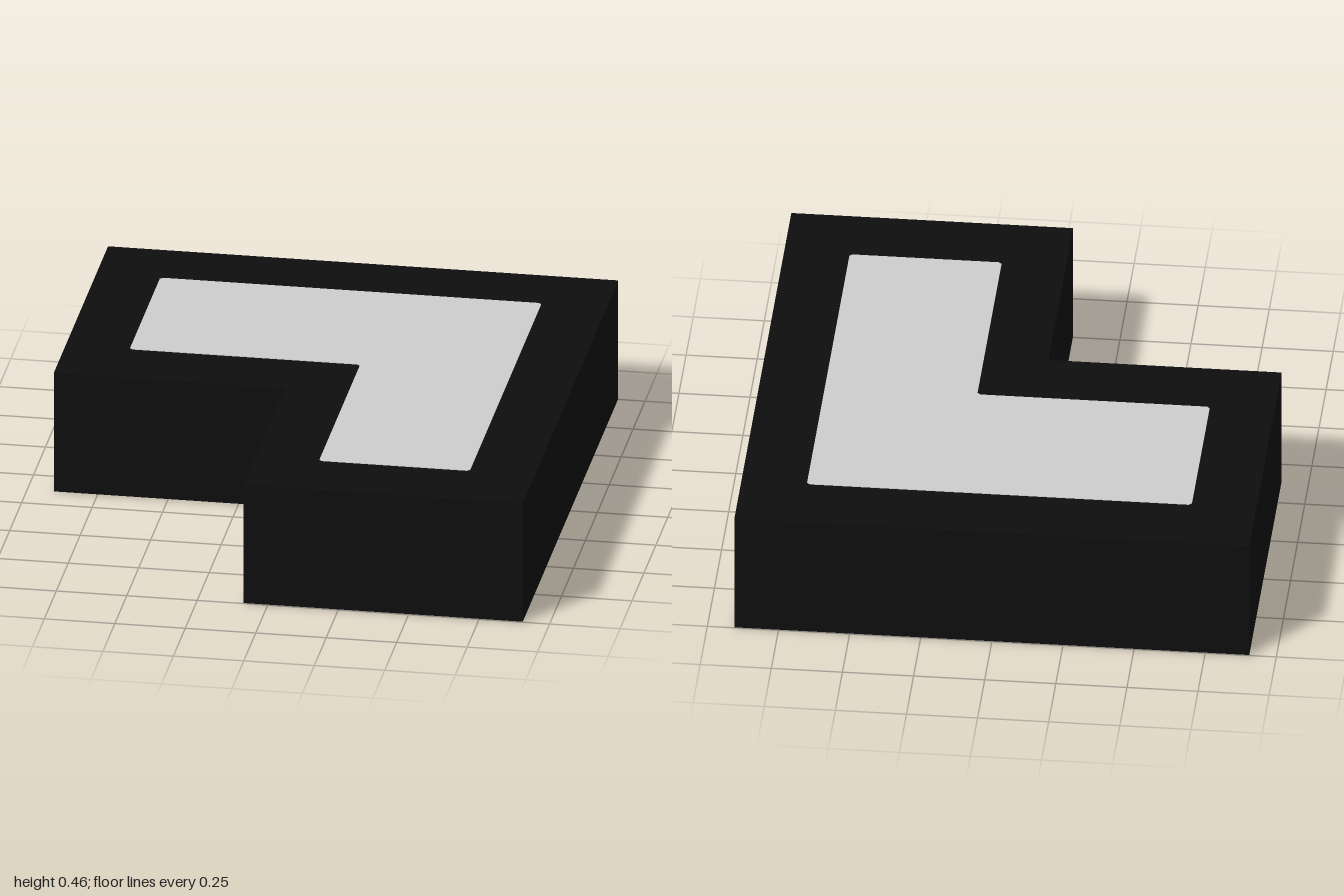
import * as THREE from 'three';

const HEIGHT = 0.455;
const INLAY = 0.002; // thickness of the inlaid plates

// L-shaped outline in plan: shape y is -z. A small cut softens each corner.
function lShape(x0, x1, xNotch, zBack, zFront, zNotch, cut = 0) {
  const corners = [
    [x0, -zBack], [x0, -zNotch], [xNotch, -zNotch],
    [xNotch, -zFront], [x1, -zFront], [x1, -zBack],
  ].map(([x, y]) => new THREE.Vector2(x, y));
  if (!cut) return new THREE.Shape(corners);
  const points = corners.flatMap((p, i) => {
    const toward = (q) => p.clone().add(q.clone().sub(p).setLength(cut));
    return [toward(corners[(i + 5) % 6]), toward(corners[(i + 1) % 6])];
  });
  return new THREE.Shape(points);
}

// Upright slab of the given outline, standing on height y
function slab(name, shape, y, depth, material) {
  const geometry = new THREE.ExtrudeGeometry(shape, { depth, bevelEnabled: false });
  geometry.rotateX(-Math.PI / 2);
  const mesh = new THREE.Mesh(geometry, material);
  mesh.name = name;
  mesh.position.y = y;
  return mesh;
}

export function createModel() {
  const black = new THREE.MeshStandardMaterial({ color: 0x0e0e0e });
  black.name = 'black';
  const lightGrey = new THREE.MeshStandardMaterial({ color: 0xcccccc });
  lightGrey.name = 'lightGrey';

  const outer = lShape(-0.905, 0.905, -0.085, -1, 1, 0.137);
  const inner = lShape(-0.678, 0.675, 0.14, -0.753, 0.75, -0.113, 0.01);

  const model = new THREE.Group();
  model.name = 'cornerBlock';
  model.add(
    // Solid block, with a pale plate on the top and on the underside
    slab('body', outer, INLAY, HEIGHT - 2 * INLAY, black),
    slab('topInlay', inner, HEIGHT - INLAY, INLAY, lightGrey),
    slab('bottomInlay', inner, 0, INLAY, lightGrey),
  );
  return model;
}
